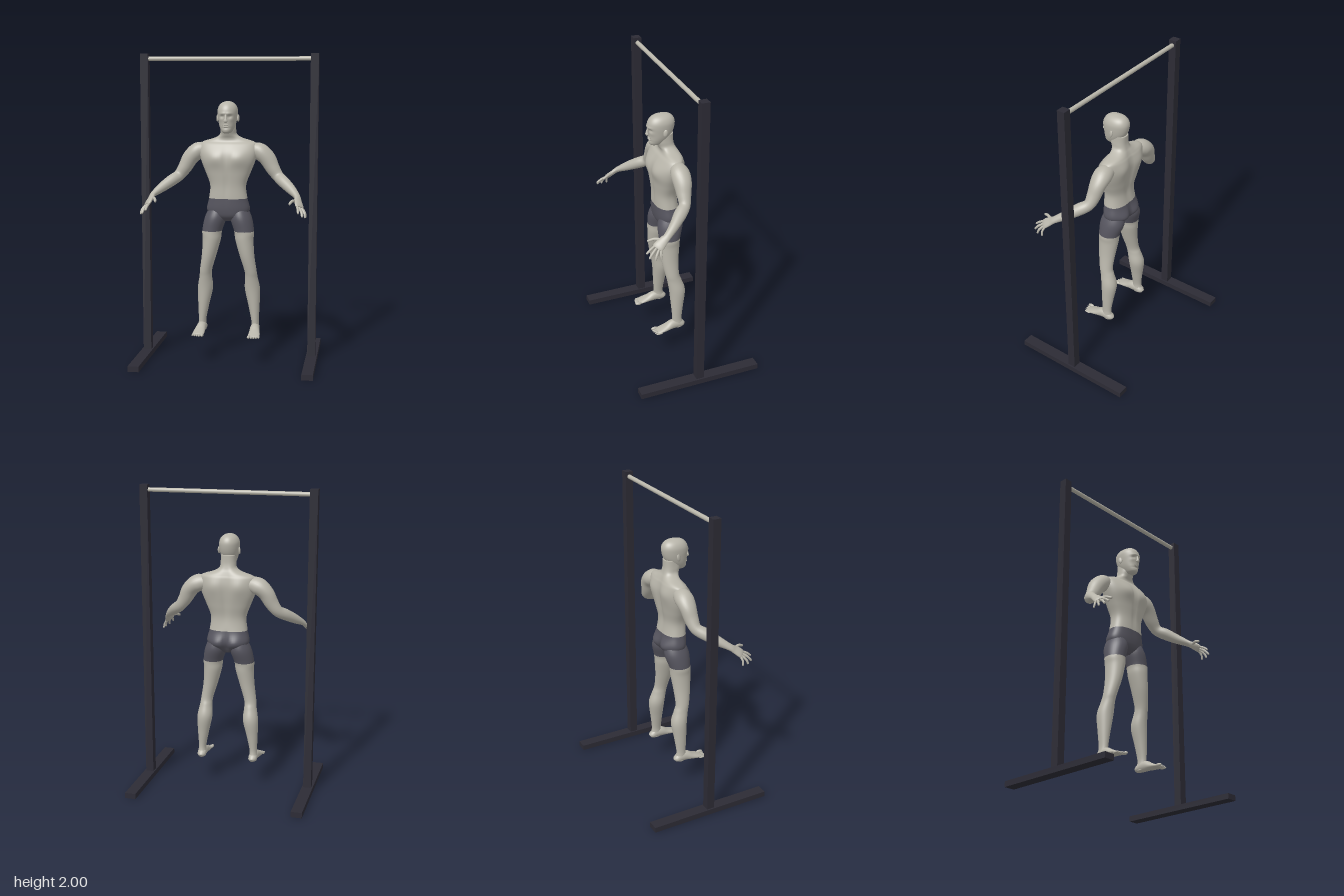
import * as THREE from 'three';

const mat = (name, color) => Object.assign(new THREE.MeshStandardMaterial({ color }), { name });
const V = (x, y, z) => new THREE.Vector3(x, y, z);

// Smoothly interpolate rows of numbers, keeping every key row
function dense(keys, steps) {
  const out = [];
  const at = i => keys[Math.max(0, Math.min(keys.length - 1, i))];
  for (let i = 0; i < keys.length - 1; i++) {
    const [a, b, c, d] = [at(i - 1), at(i), at(i + 1), at(i + 2)];
    for (let s = 0; s < steps; s++) {
      const t = s / steps;
      out.push(b.map((p, k) => {
        const m0 = (c[k] - a[k]) / 2, m1 = (d[k] - p) / 2;
        return p + m0 * t + (3 * (c[k] - p) - 2 * m0 - m1) * t * t + (2 * (p - c[k]) + m0 + m1) * t ** 3;
      }));
    }
  }
  out.push(at(keys.length - 1));
  return out;
}

// Closed surface through rings of points; rowMat picks the material per row
function skinRings(rings, rowMat = () => 0) {
  const n = rings[0].length, pts = rings.flat(), lists = [[], []];
  const add = (m, ...t) => lists[m].push(...t);
  for (let r = 0; r < rings.length - 1; r++) {
    const m = rowMat((rings[r][0].y + rings[r + 1][0].y) / 2);
    for (let i = 0; i < n; i++) {
      const a = r * n + i, b = r * n + (i + 1) % n;
      add(m, a, b, a + n, b, b + n, a + n);
    }
  }
  for (const r of [0, rings.length - 1]) {
    const c = pts.push(rings[r].reduce((s, p) => s.add(p), V(0, 0, 0)).divideScalar(n)) - 1;
    const m = rowMat(rings[r][0].y);
    for (let i = 0; i < n; i++) {
      const a = r * n + i, b = r * n + (i + 1) % n;
      r ? add(m, a, b, c) : add(m, b, a, c);
    }
  }
  // Turn all faces outward
  let vol = 0;
  for (const l of lists) for (let i = 0; i < l.length; i += 3)
    vol += pts[l[i]].dot(V(0, 0, 0).crossVectors(pts[l[i + 1]], pts[l[i + 2]]));
  if (vol < 0) lists.forEach(l => l.reverse());
  const g = new THREE.BufferGeometry().setFromPoints(pts);
  g.setIndex(lists.flat());
  g.addGroup(0, lists[0].length, 0);
  if (lists[1].length) g.addGroup(lists[0].length, lists[1].length, 1);
  g.computeVertexNormals();
  return g;
}

// Upright form; keys are [y, centre x, front z, back z, half width]
// bumps are [x, y, width, height, amount, front 1 / back -1], mirrored in x
function upright(keys, { n = 32, steps = 6, power = 1, bumps = [], side = 1, rowMat } = {}) {
  const pw = v => Math.sign(v) * Math.abs(v) ** power;
  const rings = dense(keys, steps).map(([y, cx, zf, zb, rx]) => Array.from({ length: n }, (_, i) => {
    const t = i / n * Math.PI * 2, s = Math.sin(t);
    const x = cx + rx * pw(Math.cos(t));
    let z = (zf + zb) / 2 + (zf - zb) / 2 * pw(s);
    for (const [bx, by, w, h, amt, face] of bumps)
      if (s * face > 0) z += face * amt * Math.abs(s) * Math.exp(-(((Math.abs(x) - bx) / w) ** 2) - ((y - by) / h) ** 2);
    return V(x * side, y, z);
  }));
  return skinRings(rings, rowMat);
}

// Limb along a path; keys are [x, y, z, radius along wide axis, other radius]
function sweep(keys, wide, side = 1, n = 20, steps = 5) {
  const rows = dense(keys, steps), P = rows.map(r => V(r[0], r[1], r[2]));
  return skinRings(rows.map((r, i) => {
    const T = P[Math.min(i + 1, P.length - 1)].clone().sub(P[Math.max(i - 1, 0)]).normalize();
    const u = wide.clone().addScaledVector(T, -wide.dot(T)).normalize(), v = T.clone().cross(u);
    return Array.from({ length: n }, (_, k) => {
      const t = k / n * Math.PI * 2;
      const p = P[i].clone().addScaledVector(u, r[3] * Math.cos(t)).addScaledVector(v, r[4] * Math.sin(t));
      p.x *= side;
      return p;
    });
  }));
}

export function createModel() {
  const root = new THREE.Group();
  const skin = mat('skin', 0xb8b5aa), shorts = mat('shorts', 0x56555f);
  const frame = mat('frame', 0x2c2b35), steel = mat('steel', 0xb9b6aa);
  const add = (name, geo, material, parent = root) => {
    const m = new THREE.Mesh(geo, material);
    m.name = name;
    parent.add(m);
    return m;
  };
  const blob = (name, parent, [x, y, z], [a, b, c]) => {
    const m = add(name, new THREE.SphereGeometry(1, 16, 12), skin, parent);
    m.position.set(x, y, z);
    m.scale.set(a, b, c);
    return m;
  };

  // Pull-up stand
  const stand = new THREE.Group();
  stand.name = 'stand';
  for (const s of [-1, 1]) {
    add('post', new THREE.BoxGeometry(0.052, 1.97, 0.052), frame, stand).position.set(s * 0.55, 1.015, 0);
    add('baseFoot', new THREE.BoxGeometry(0.072, 0.036, 0.826), frame, stand).position.set(s * 0.551, 0.018, 0);
  }
  const bar = add('bar', new THREE.CylinderGeometry(0.014, 0.014, 1.06, 24), steel, stand);
  bar.rotation.z = Math.PI / 2;
  bar.position.y = 1.967;

  const figure = new THREE.Group();
  figure.name = 'figure';
  root.add(stand, figure);

  // Torso, hips and neck, with the shorts up to the waist
  add('torso', upright([
    [0.925, 0, 0.05, -0.02, 0.03], [0.955, 0, 0.085, -0.045, 0.105], [1.0, 0, 0.096, -0.066, 0.14],
    [1.075, 0, 0.099, -0.052, 0.125], [1.16, 0, 0.1, -0.044, 0.117], [1.24, 0, 0.108, -0.058, 0.145],
    [1.31, 0, 0.115, -0.07, 0.173], [1.37, 0, 0.106, -0.074, 0.188], [1.42, 0, 0.078, -0.066, 0.185],
    [1.442, 0, 0.058, -0.058, 0.16], [1.462, 0, 0.055, -0.05, 0.095], [1.485, 0, 0.065, -0.04, 0.057],
    [1.52, 0, 0.078, -0.032, 0.05], [1.57, 0, 0.08, -0.03, 0.048],
  ], {
    n: 64, power: 0.85, rowMat: y => y < 1.075 ? 1 : 0,
    bumps: [
      [0.08, 1.335, 0.06, 0.045, 0.014, 1], [0, 1.34, 0.014, 0.07, -0.008, 1], [0, 1.17, 0.012, 0.09, -0.005, 1],
      [0.09, 1.37, 0.05, 0.06, 0.012, -1], [0, 1.3, 0.024, 0.15, -0.014, -1],
      [0.066, 0.99, 0.05, 0.045, 0.018, -1], [0, 0.98, 0.015, 0.06, -0.02, -1],
    ],
  }), [skin, shorts], figure);

  // Head and face
  const head = new THREE.Group();
  head.name = 'head';
  figure.add(head);
  add('skull', upright([
    [1.498, 0, 0.112, 0.04, 0.02], [1.508, 0, 0.123, 0.025, 0.033], [1.53, 0, 0.126, 0.005, 0.045],
    [1.555, 0, 0.126, -0.014, 0.054], [1.585, 0, 0.129, -0.031, 0.06], [1.62, 0, 0.135, -0.041, 0.064],
    [1.65, 0, 0.131, -0.042, 0.063], [1.676, 0, 0.115, -0.03, 0.051], [1.693, 0, 0.089, -0.006, 0.03],
    [1.7, 0, 0.05, 0.036, 0.006],
  ], {
    n: 64, power: 0.94,
    bumps: [[0.025, 1.605, 0.014, 0.01, -0.01, 1], [0.022, 1.623, 0.022, 0.008, 0.005, 1],
      [0.038, 1.585, 0.014, 0.014, 0.004, 1], [0, 1.532, 0.03, 0.006, -0.004, 1]],
  }), skin, head);
  add('nose', sweep([[0, 1.618, 0.13, 0.006, 0.006], [0, 1.592, 0.136, 0.008, 0.009],
    [0, 1.576, 0.137, 0.014, 0.011], [0, 1.569, 0.133, 0.009, 0.008]], V(1, 0, 0)), skin, head);
  for (const y of [1.541, 1.55]) blob('lip', head, [0, y, 0.124], [0.02, 0.0045, 0.008]);
  for (const s of [-1, 1]) {
    blob('eye', head, [s * 0.025, 1.605, 0.107], [0.011, 0.007, 0.011]);
    const ear = blob('ear', head, [s * 0.067, 1.592, 0.04], [0.007, 0.024, 0.014]);
    ear.rotation.set(-0.2, s * -0.35, 0);
  }

  const palmAxis = V(-0.7, 0.45, 0.55).normalize();
  for (const s of [-1, 1]) {
    const label = s > 0 ? 'left' : 'right';

    // Arm down to the knuckles
    const arm = new THREE.Group();
    arm.name = label + 'Arm';
    add('armAndPalm', sweep([
      [0.14, 1.385, 0, 0.045, 0.045], [0.2, 1.376, 0, 0.06, 0.056], [0.25, 1.335, 0.002, 0.058, 0.051],
      [0.287, 1.27, 0.007, 0.046, 0.045], [0.325, 1.217, 0.018, 0.037, 0.037], [0.366, 1.186, 0.062, 0.04, 0.037],
      [0.42, 1.145, 0.125, 0.031, 0.03], [0.46, 1.11, 0.183, 0.024, 0.018], [0.468, 1.09, 0.212, 0.029, 0.015],
      [0.478, 1.066, 0.245, 0.035, 0.014], [0.483, 1.052, 0.26, 0.033, 0.01],
    ], palmAxis, s, 28), skin, arm);
    // Fingers from little finger to index, then the thumb
    const finger = (name, [a, b, c], r) => add(name, sweep([
      [...a, r, r], [...b, r, r], [...c.map((v, i) => v * 0.9 + b[i] * 0.1), r * 0.8, r * 0.8], [...c, r * 0.3, r * 0.3],
    ], palmAxis, s, 10, 4), skin, arm);
    finger('littleFinger', [[0.5, 1.045, 0.24], [0.515, 1.02, 0.248], [0.521, 0.992, 0.245]], 0.007);
    finger('ringFinger', [[0.492, 1.05, 0.25], [0.512, 1.023, 0.274], [0.519, 0.994, 0.285]], 0.008);
    finger('middleFinger', [[0.478, 1.056, 0.26], [0.495, 1.032, 0.294], [0.503, 1.004, 0.318]], 0.0085);
    finger('indexFinger', [[0.466, 1.065, 0.266], [0.474, 1.048, 0.3], [0.478, 1.026, 0.328]], 0.008);
    finger('thumb', [[0.456, 1.092, 0.22], [0.434, 1.092, 0.262], [0.421, 1.078, 0.3]], 0.0095);

    // Leg, with the shorts down to mid thigh
    const leg = new THREE.Group();
    leg.name = label + 'Leg';
    add('thighAndShin', upright([
      [1.03, 0.07, 0.07, -0.045, 0.045], [0.95, 0.083, 0.1, -0.066, 0.07], [0.86, 0.105, 0.1, -0.042, 0.065],
      [0.8, 0.108, 0.1, -0.036, 0.059], [0.7, 0.125, 0.092, -0.024, 0.048], [0.6, 0.147, 0.073, -0.02, 0.04],
      [0.55, 0.152, 0.062, -0.035, 0.041], [0.47, 0.157, 0.05, -0.058, 0.05], [0.36, 0.168, 0.042, -0.043, 0.037],
      [0.26, 0.176, 0.036, -0.03, 0.025], [0.215, 0.177, 0.036, -0.036, 0.027], [0.185, 0.177, 0.03, -0.036, 0.024],
    ], { n: 36, side: s, rowMat: y => y > 0.86 ? 1 : 0 }), [skin, shorts], leg);

    // Foot and toes
    add('foot', sweep([
      [-0.044, 0.176, 0.012, 0.205], [-0.032, 0.176, 0.026, 0.222], [0, 0.177, 0.029, 0.244], [0.04, 0.178, 0.031, 0.243],
      [0.08, 0.181, 0.035, 0.222], [0.12, 0.183, 0.038, 0.205], [0.152, 0.182, 0.034, 0.193],
    ].map(([z, x, w, top]) => [x, (top + 0.177) / 2, z, w, (top - 0.177) / 2]), V(1, 0, 0), s, 24), skin, leg);
    for (let i = 0; i < 5; i++) {
      const r = i ? 0.0075 - i * 0.0003 : 0.011;
      blob('toe', leg, [s * (0.153 + i * 0.0155 + (i ? 0.002 : 0)), 0.177 + r, 0.158 - i * i * 0.0009], [r, r, 0.024]);
    }
    figure.add(arm, leg);
  }
  return root;
}
